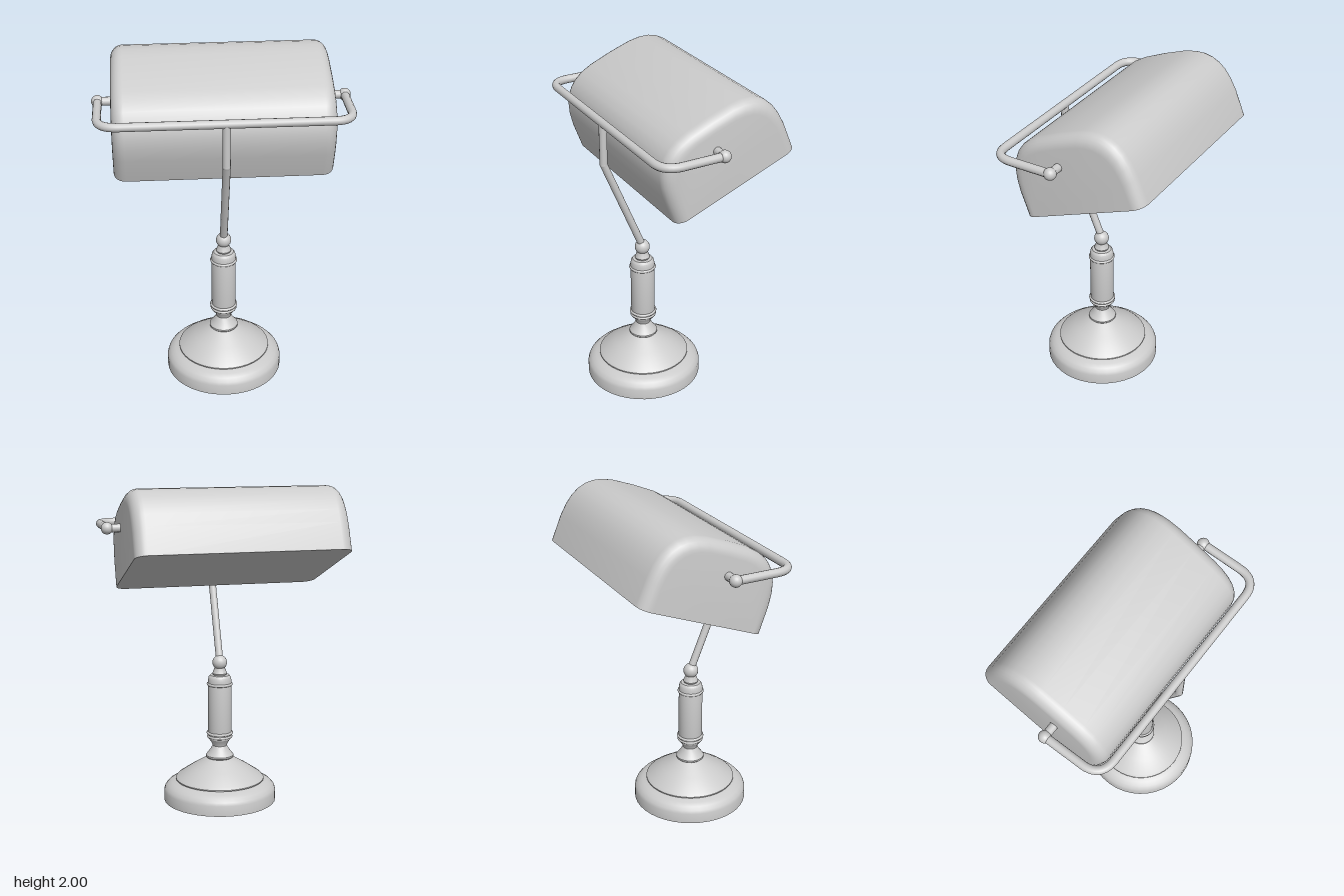
import * as THREE from 'three';
import { toCreasedNormals } from 'three/addons/utils/BufferGeometryUtils.js';

const material = new THREE.MeshStandardMaterial({ color: 0xcccccc });
const V = (x, y, z) => new THREE.Vector3(x, y, z);

function part(name, geometry, parent) {
  const mesh = new THREE.Mesh(geometry, material);
  mesh.name = name;
  parent.add(mesh);
  return mesh;
}

function lathe(name, profile, parent, segments = 32) {
  const points = profile.map(([r, y]) => new THREE.Vector2(r, y));
  return part(name, toCreasedNormals(new THREE.LatheGeometry(points, segments), 0.5), parent);
}

// Straight round rod between two points
function rod(name, from, to, radius, parent) {
  const axis = to.clone().sub(from);
  const mesh = part(name, new THREE.CylinderGeometry(radius, radius, axis.length(), 12), parent);
  mesh.position.copy(from).add(to).multiplyScalar(0.5);
  mesh.quaternion.setFromUnitVectors(V(0, 1, 0), axis.normalize());
  return mesh;
}

function ball(name, at, radius, parent) {
  const mesh = part(name, new THREE.SphereGeometry(radius, 20, 14), parent);
  mesh.position.copy(at);
  return mesh;
}

// Domed solid along x: arched sections that shrink at both ends to round the rim
function shadeGeometry(halfLength, halfWidth, height, fillet) {
  const arch = 18, steps = 6, power = 2 / 3.4;
  const sections = [];
  for (let i = 0; i <= steps; i++) {
    const a = (i / steps) * Math.PI / 2;
    sections.push([halfLength - fillet + fillet * Math.sin(a), fillet * (1 - Math.cos(a))]);
  }
  const all = [...sections.map(([x, d]) => [-x, d]).reverse(), ...sections];
  const positions = [], index = [], n = arch + 1;
  for (const [x, d] of all) {
    for (let j = 0; j <= arch; j++) {
      const t = (j / arch) * Math.PI, c = Math.cos(t), s = Math.max(0, Math.sin(t));
      const z = Math.sign(c) * Math.abs(c) ** power * (halfWidth - d);
      positions.push(x, j % arch ? s ** power * (height - d) : 0, z);
    }
  }
  for (let i = 0; i < all.length - 1; i++) {
    for (let j = 0; j < n; j++) {
      const k = (j + 1) % n, a = i * n + j, b = a + n, c = (i + 1) * n + k, d = i * n + k;
      index.push(a, b, c, a, c, d);
    }
  }
  const last = (all.length - 1) * n;
  for (let j = 1; j < arch; j++) {
    index.push(0, j, j + 1, last, last + j + 1, last + j);
  }
  const geometry = new THREE.BufferGeometry();
  geometry.setAttribute('position', new THREE.Float32BufferAttribute(positions, 3));
  geometry.setIndex(index);
  return toCreasedNormals(geometry, 0.6);
}

export function createModel() {
  const model = new THREE.Group();
  model.name = 'deskLamp';
  const lamp = new THREE.Group();
  lamp.name = 'turnedLamp';
  lamp.position.set(0.05, 0, 0.17);
  lamp.rotation.y = THREE.MathUtils.degToRad(25.6);
  model.add(lamp);

  // Foot: rounded disc, lip and cone
  lathe('base', [[0, 0], [0.355, 0], [0.355, 0.065], [0.348, 0.085], [0.33, 0.105], [0.305, 0.12],
    [0.25, 0.135], [0.28, 0.135], [0.28, 0.142], [0.265, 0.157], [0.18, 0.215], [0.08, 0.275]], lamp, 40);

  // Turned column with waist, rings and cap
  lathe('columnFoot', [[0.08, 0.272], [0.087, 0.28], [0.087, 0.29], [0.078, 0.302], [0.06, 0.325],
    [0.045, 0.352], [0.05, 0.368], [0.07, 0.398], [0.07, 0.41]], lamp);
  lathe('column', [[0.07, 0.395], [0.074, 0.42], [0.074, 0.775], [0.07, 0.797], [0.06, 0.81],
    [0.042, 0.812], [0.046, 0.822], [0.042, 0.832], [0.03, 0.862], [0.03, 0.88]], lamp);
  for (const [y, r] of [[0.412, 0.072], [0.434, 0.075], [0.752, 0.073]]) {
    const ring = part('columnRing', new THREE.TorusGeometry(r, 0.009, 8, 32), lamp);
    ring.rotation.x = Math.PI / 2;
    ring.position.y = y;
  }
  ball('columnBall', V(0, 0.89, 0), 0.046, lamp);

  // Bent stem
  const barY = 1.76, barZ = 0.244, armX = 0.712, armZ = -0.127;
  const bend = V(0, 1.5, barZ);
  rod('lowerStem', V(0, 0.9, 0), bend, 0.023, lamp);
  rod('upperStem', bend, V(0, barY, barZ), 0.023, lamp);
  ball('stemBend', bend, 0.023, lamp);

  // U-shaped carrying bar with rounded corners
  const r = 0.12;
  const path = new THREE.CurvePath();
  const corner = (s) => V(s * armX, barY, barZ);
  const inner = (s) => V(s * (armX - r), barY, barZ);
  const rear = (s) => V(s * armX, barY, barZ - r);
  path.add(new THREE.LineCurve3(V(-armX, barY, armZ), rear(-1)));
  path.add(new THREE.QuadraticBezierCurve3(rear(-1), corner(-1), inner(-1)));
  path.add(new THREE.LineCurve3(inner(-1), inner(1)));
  path.add(new THREE.QuadraticBezierCurve3(inner(1), corner(1), rear(1)));
  path.add(new THREE.LineCurve3(rear(1), V(armX, barY, armZ)));
  part('carryingBar', new THREE.TubeGeometry(path, 120, 0.025, 12), lamp);

  // Pivots joining the bar to the shade
  for (const s of [-1, 1]) {
    const end = V(s * armX, barY, armZ);
    ball('pivotBall', end, 0.036, lamp);
    rod('pivotPin', V(s * 0.6, barY, armZ), end, 0.025, lamp);
  }

  // Tilted shade
  const shade = part('shade', shadeGeometry(0.635, 0.408, 0.458, 0.07), lamp);
  shade.position.set(0, 1.51, -0.27);
  shade.rotation.x = 0.376;

  return model;
}
